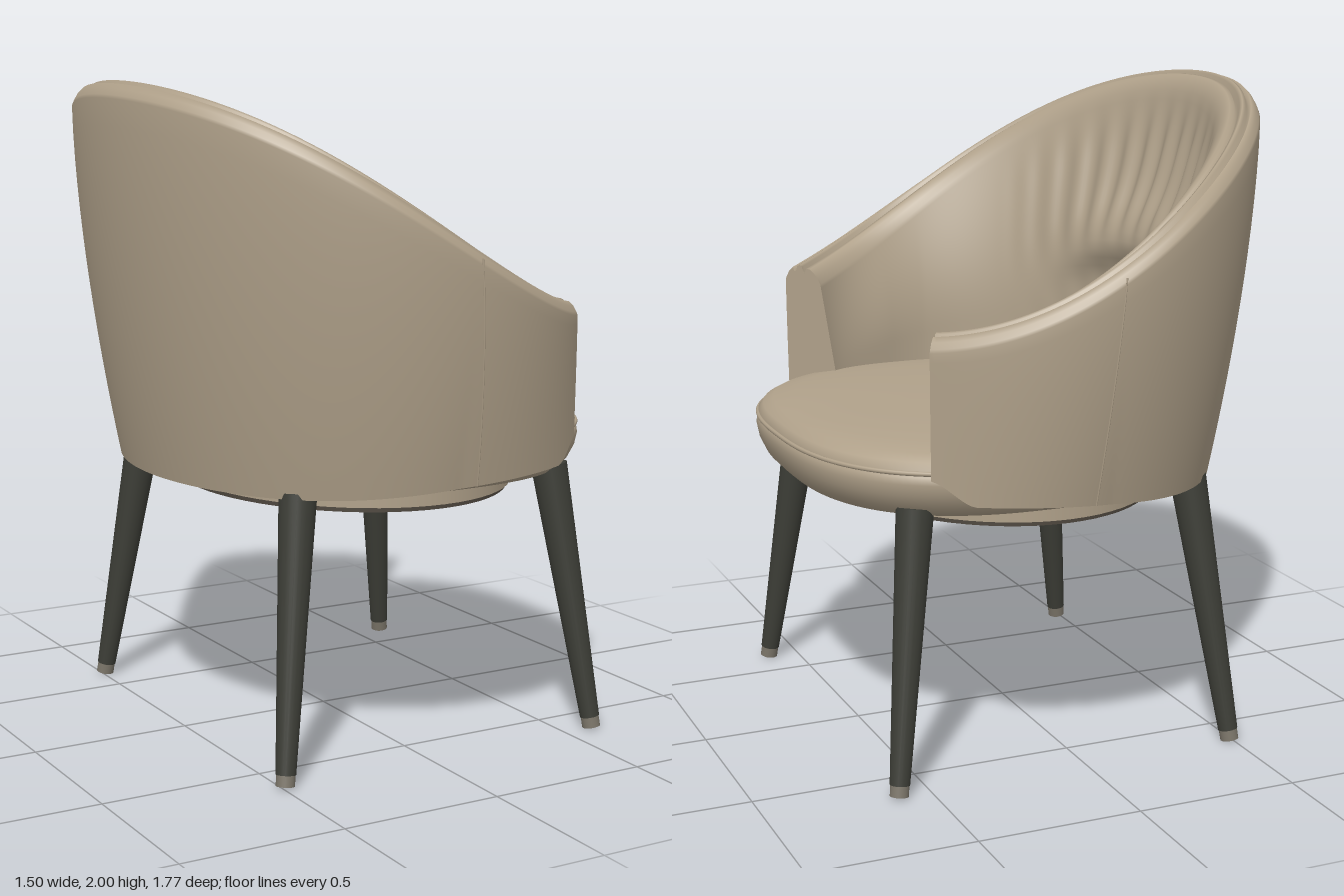
import * as THREE from 'three';

const mat = (name, color) => {
  const m = new THREE.MeshStandardMaterial({ color });
  m.name = name;
  return m;
};
const clamp01 = (v) => Math.min(1, Math.max(0, v));
const smooth = (a, b, v) => THREE.MathUtils.smoothstep(v, a, b);
const lerp = THREE.MathUtils.lerp;

// Skin a list of cross-sections; wrap joins the last section to the first.
function loft(sections, wrap = false) {
  const n = sections.length, m = sections[0].length, idx = [];
  for (let i = 0; i < (wrap ? n : n - 1); i++) {
    for (let j = 0; j < m - 1; j++) {
      const a = i * m + j, b = ((i + 1) % n) * m + j;
      idx.push(a, b, a + 1, b, b + 1, a + 1);
    }
  }
  const g = new THREE.BufferGeometry().setFromPoints(sections.flat());
  g.setIndex(idx);
  g.computeVertexNormals();
  return g;
}

// ---- Wraparound shell, open toward +x; phi = 0 is the middle of the back ----
const END = 2.3;
// Rim with two piping ridges: [inset from the outside, height from the top]
const RIM = [[0.002, -0.05], [0.006, -0.04], [0.016, -0.022], [0.03, -0.008], [0.036, -0.022], [0.042, -0.022],
  [0.047, -0.004], [0.056, 0], [0.065, -0.006], [0.069, -0.026], [0.075, -0.027], [0.081, -0.012], [0.094, -0.012],
  [0.107, -0.022], [0.12, -0.036]];

const place = (phi, inset, y) =>
  new THREE.Vector3(-(0.755 - inset) * Math.cos(phi), y, (0.887 - inset) * Math.sin(phi));

function rimHeight(phi) {
  const u = -0.706 * Math.cos(phi);
  return 1.555 - 0.62 * u + 0.261 * u * u + 0.341 * u ** 3;
}
function shellBottom(phi) {
  const x = -0.755 * Math.cos(phi);
  return 0.82 + 0.05 * smooth(-0.6, 0.4, x) + 0.07 * smooth(0.4, 0.51, x);
}
function outerInset(phi, y) {
  const c = Math.cos(phi);
  const depth = c > 0 ? 0.1 + 0.04 * c : 0.1 + 0.14 * c;
  const t = clamp01((y - 0.82) / (rimHeight(phi) - 0.87));
  return 0.002 + depth * (1 - t) ** 1.6;
}
function innerInset(phi, y, s) {
  const c = Math.cos(phi), a = Math.abs(phi);
  const base = 0.212 + (c > 0 ? 0.045 * c : 0.01 * c);
  // Hollow toward the back, straight at the arm ends
  const bow = lerp(Math.sin(clamp01(s * 1.5) * Math.PI / 2), s, smooth(1.8, END, a));
  let d = 0.134 + (base - 0.134) * bow;
  // Lumbar roll, drooping to the sides
  const h = y - (1.45 - 0.2 * phi * phi);
  d += 0.05 * (1 - smooth(0.3, 0.85, a)) * Math.exp(-((h / (h > 0 ? 0.15 : 0.07)) ** 2));
  // Gathered pleats above the roll, faint folds below it
  const fade = 1 - smooth(0.5, 1.15, a);
  const above = smooth(-0.02, 0.15, h) * smooth(0, 0.2, s);
  const below = 0.25 * smooth(0.05, 0.15, -h) * smooth(0, 0.2, 1 - s);
  return d + 0.009 * Math.cos(phi * 40 + 0.6 * Math.sin(phi * 5)) * fade * (above + below);
}
function shellProfile(phi) {
  const top = rimHeight(phi), bottom = shellBottom(phi), pts = [];
  for (let k = 0; k < 14; k++) {
    const y = bottom + (top - 0.05 - bottom) * k / 14;
    pts.push([outerInset(phi, y), y]);
  }
  RIM.forEach(([d, h]) => pts.push([d, top + h]));
  const start = top - 0.06, end = Math.min(0.9, bottom + 0.03);
  for (let k = 0; k <= 36; k++) {
    const s = k / 36, y = start + (end - start) * s;
    pts.push([innerInset(phi, y, s), y]);
  }
  pts.push([...pts[0]]);
  return pts;
}
function shellGeometry() {
  const sections = [];
  for (let i = 0; i <= 280; i++) {
    const phi = -END + 2 * END * i / 280;
    sections.push(shellProfile(phi).map(([d, y]) => place(phi, d, y)));
  }
  return loft(sections);
}
function armEnd(side) {
  const phi = side * END;
  const ring = shellProfile(phi).slice(0, -1).reverse().map(([d, y]) => new THREE.Vector2(d, y));
  const faces = THREE.ShapeUtils.triangulateShape(ring, []);
  const g = new THREE.BufferGeometry().setFromPoints(ring.map((p) => place(phi, p.x, p.y)));
  g.setIndex(faces.flatMap(([a, b, c]) => (side > 0 ? [a, b, c] : [a, c, b])));
  g.computeVertexNormals();
  return g;
}

// ---- Seat outline: round at the back, squarer at the front ----
function seatPoint(t, k, y) {
  const c = Math.cos(t), s = Math.sin(t), e = c > 0 ? 2 / 2.65 : 1;
  const x = Math.sign(c) * Math.abs(c) ** e * (c > 0 ? 0.67 : 0.62);
  return new THREE.Vector3(0.08 + x * k, y, Math.sign(s) * Math.abs(s) ** e * 0.7 * k);
}
const SEAT = [[0, 1.03], [0.4, 1.027], [0.65, 1.02], [0.82, 1.01], [0.92, 0.995], [0.965, 0.977], [0.988, 0.957],
  [0.978, 0.947], [0.993, 0.938], [0.998, 0.915], [0.988, 0.88], [0.96, 0.84], [0.92, 0.812], [0.84, 0.8], [0, 0.8]];

function tube(points, radius, closed, segments) {
  return new THREE.TubeGeometry(new THREE.CatmullRomCurve3(points, closed), segments, radius, 8, closed);
}

// Tapered round bar between two points
function bar(from, to, r0, r1, material, name) {
  const dir = to.clone().sub(from);
  const mesh = new THREE.Mesh(new THREE.CylinderGeometry(r1, r0, dir.length(), 24), material);
  mesh.position.copy(from).addScaledVector(dir, 0.5);
  mesh.quaternion.setFromUnitVectors(new THREE.Vector3(0, 1, 0), dir.normalize());
  mesh.name = name;
  return mesh;
}

export function createModel() {
  const leather = mat('taupe leather', 0xb0a18a);
  const legPaint = mat('dark leg', 0x3d3e37);
  const lining = mat('dark lining', 0x4e473e);
  const tip = mat('foot tip', 0x7c766a);
  const chair = new THREE.Group();
  chair.name = 'tubChair';
  const add = (name, geometry, material) => {
    const mesh = new THREE.Mesh(geometry, material);
    mesh.name = name;
    chair.add(mesh);
    return mesh;
  };

  // Backrest shell with its end faces and side seams
  add('backrestShell', shellGeometry(), leather);
  for (const side of [-1, 1]) {
    const label = side > 0 ? 'left' : 'right';
    add(label + 'ArmEnd', armEnd(side), leather);
    const seam = [];
    for (let k = 0; k <= 12; k++) {
      const phi = side * (1.58 + 0.07 * (1 - k / 12));
      const low = shellBottom(phi), y = low + (rimHeight(phi) - 0.03 - low) * k / 12;
      seam.push(place(phi, outerInset(phi, y), y));
    }
    add(label + 'SideSeam', tube(seam, 0.0025, false, 40), leather);
  }

  // Seat cushion and its piping
  const sections = [], piping = [];
  for (let i = 0; i < 128; i++) {
    const t = i / 128 * Math.PI * 2;
    sections.push(SEAT.map(([k, y]) => seatPoint(t, k, y)));
    piping.push(seatPoint(t, 0.99, 0.948));
  }
  add('seatCushion', loft(sections, true), leather);
  add('seatPiping', tube(piping, 0.007, true, 200), leather);

  // Base ring and dark lining under the seat
  const ring = add('baseRing', new THREE.CylinderGeometry(1, 1, 0.04, 64), leather);
  ring.scale.set(0.505, 1, 0.63);
  ring.position.set(0.055, 0.79, 0);
  const plate = add('underseatLining', new THREE.CylinderGeometry(1, 1, 0.025, 64), lining);
  plate.scale.set(0.495, 1, 0.615);
  plate.position.set(0.055, 0.767, 0);

  // Splayed legs with foot tips
  for (const [footX, topX, row] of [[0.6, 0.5, 'front'], [-0.49, -0.385, 'back']]) {
    for (const side of [-1, 1]) {
      const foot = new THREE.Vector3(footX, 0.003, 0.642 * side);
      const top = new THREE.Vector3(topX, 0.83, 0.53 * side);
      const ankle = foot.clone().lerp(top, 0.04);
      chair.add(bar(ankle, top, 0.03, 0.056, legPaint, row + 'Leg'));
      chair.add(bar(foot, ankle, 0.028, 0.028, tip, row + 'FootTip'));
    }
  }
  return chair;
}
